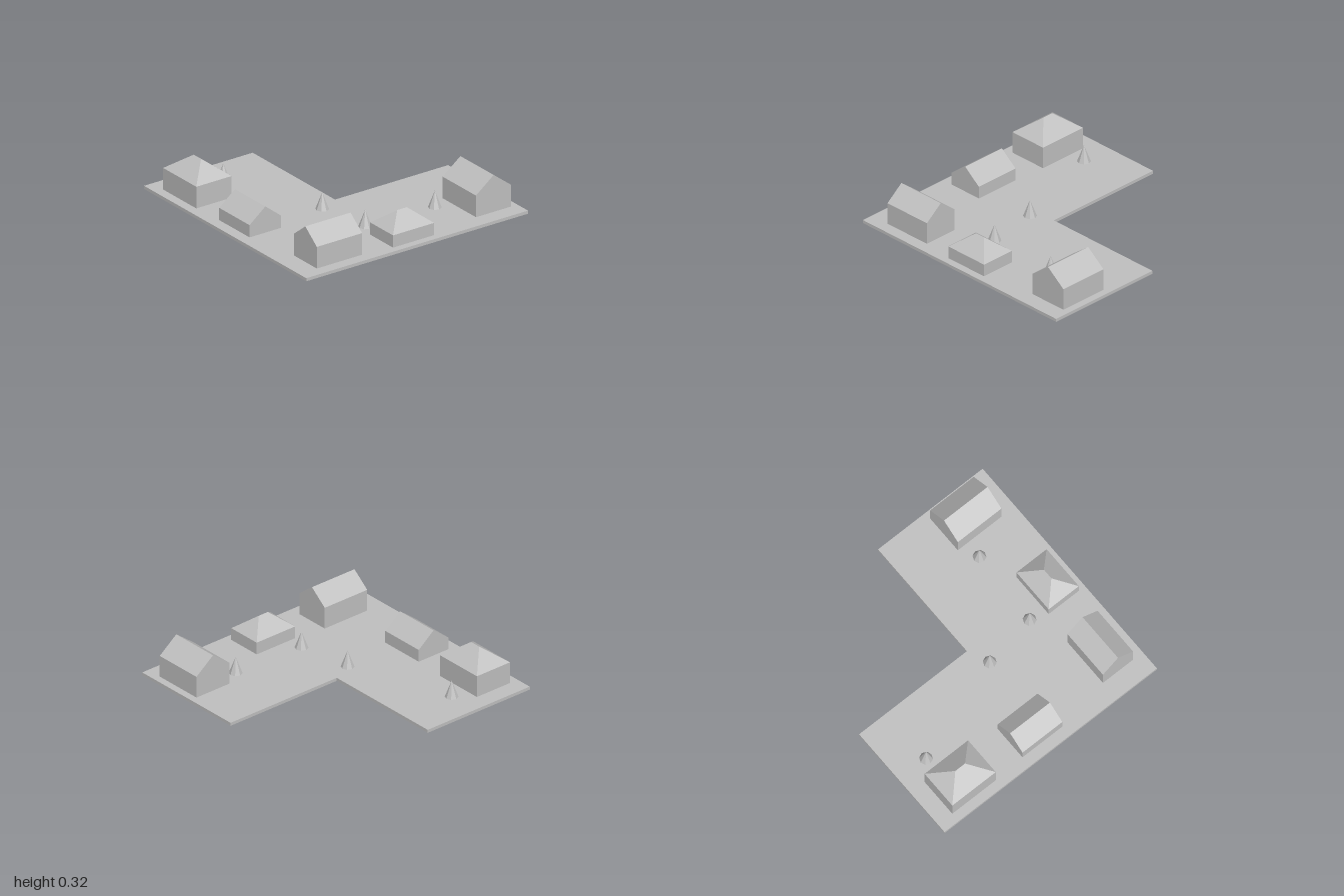
import * as THREE from 'three';

const GROUND = 0.025;

// Four roof planes over a w x l footprint, ridge along z; inset 0 gives gable ends
function roofGeometry(w, l, h, inset) {
  const x = w / 2, z = l / 2, r = l / 2 - inset;
  const A = [-x, 0, -z], B = [x, 0, -z], C = [x, 0, z], D = [-x, 0, z];
  const R0 = [0, h, -r], R1 = [0, h, r];
  const faces = [C, B, R0, C, R0, R1, A, D, R1, A, R1, R0, D, C, R1, B, A, R0];
  const geo = new THREE.BufferGeometry();
  geo.setAttribute('position', new THREE.Float32BufferAttribute(faces.flat(), 3));
  geo.computeVertexNormals();
  return geo;
}

export function createModel() {
  const grey = new THREE.MeshStandardMaterial({ color: 0xc0c0c0 });
  grey.name = 'plain grey';
  const model = new THREE.Group();
  model.name = 'village';

  const add = (parent, name, geo, x, y, z) => {
    const mesh = new THREE.Mesh(geo, grey);
    mesh.name = name;
    mesh.position.set(x, y, z);
    parent.add(mesh);
    return mesh;
  };

  // L-shaped ground slab, outlined in x and -z
  const outline = new THREE.Shape([
    [-1, -1], [1, -1], [1, -0.015], [-0.02, -0.015], [-0.02, 1], [-1, 1],
  ].map(([x, y]) => new THREE.Vector2(x, y)));
  const slab = new THREE.ExtrudeGeometry(outline, { depth: GROUND, bevelEnabled: false });
  slab.rotateX(-Math.PI / 2);
  add(model, 'ground', slab, 0, 0, 0);

  // Houses: w across the ridge, l along it; turned ones have the ridge along x
  const houses = [
    { name: 'tallHipHouse', x: -0.767, z: -0.661, w: 0.318, l: 0.409, eaves: 0.198, ridge: 0.32, inset: 0.159 },
    { name: 'lowGableHouse', x: -0.77, z: -0.006, w: 0.284, l: 0.375, eaves: 0.123, ridge: 0.235, inset: 0 },
    { name: 'cornerGableHouse', x: -0.634, z: 0.767, w: 0.284, l: 0.408, eaves: 0.198, ridge: 0.31, inset: 0, turned: true },
    { name: 'lowHipHouse', x: 0.01, z: 0.8, w: 0.284, l: 0.37, eaves: 0.123, ridge: 0.235, inset: 0.142, turned: true },
    { name: 'tallGableHouse', x: 0.785, z: 0.665, w: 0.318, l: 0.41, eaves: 0.198, ridge: 0.32, inset: 0 },
  ];
  for (const { name, x, z, w, l, eaves, ridge, inset, turned } of houses) {
    const house = new THREE.Group();
    house.name = name;
    house.position.set(x, 0, z);
    if (turned) house.rotation.y = Math.PI / 2;
    const wall = eaves - GROUND;
    add(house, 'walls', new THREE.BoxGeometry(w, wall, l), 0, GROUND + wall / 2, 0);
    add(house, 'roof', roofGeometry(w, l, ridge - eaves, inset), 0, eaves, 0);
    model.add(house);
  }

  // Faceted conical trees
  const treeHeight = 0.135;
  const cone = new THREE.ConeGeometry(0.051, treeHeight, 8).toNonIndexed();
  cone.computeVertexNormals();
  for (const [x, z] of [[-0.473, -0.741], [-0.19, 0.091], [-0.12, 0.524], [0.489, 0.551]]) {
    add(model, 'tree', cone, x, GROUND + treeHeight / 2, z);
  }
  return model;
}
